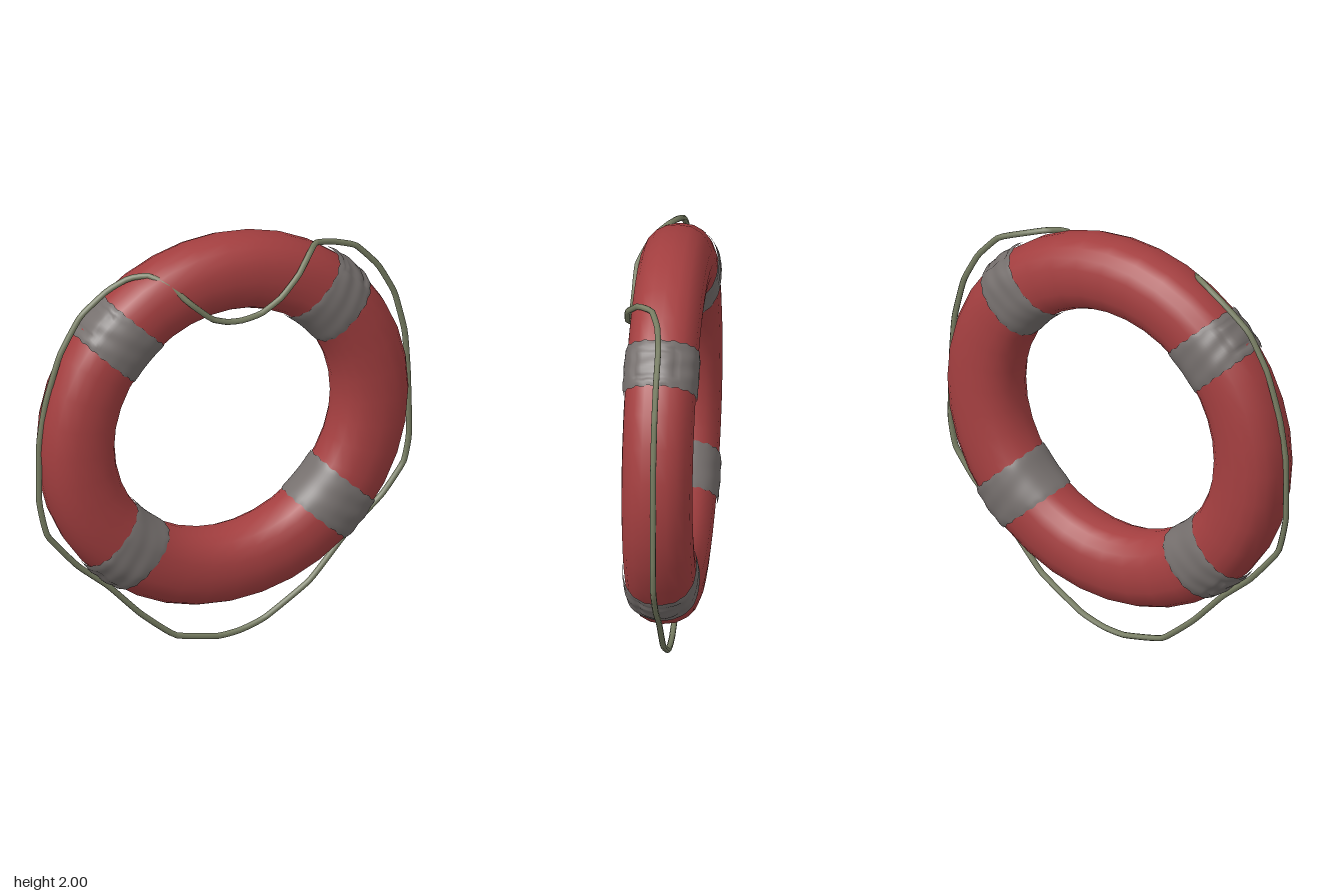
import * as THREE from 'three';
import { mergeVertices } from 'three/addons/utils/BufferGeometryUtils.js';

const RING_R = 0.725, TUBE_R = 0.175, TUBE_Z = 0.16;
const CENTRE = [-0.01, 1.1, -0.015];

// Rounded, slightly squared tube section: returns [radius, z] at angle phi
function section(phi, out = 0) {
  const soft = (v) => Math.sign(v) * Math.pow(Math.abs(v), 0.88);
  return [RING_R + (TUBE_R + out) * soft(Math.cos(phi)), (TUBE_Z + out) * soft(Math.sin(phi))];
}

// Weld seams and give smooth normals
function smooth(geometry) {
  geometry.deleteAttribute('uv');
  geometry.deleteAttribute('normal');
  const welded = mergeVertices(geometry, 1e-4);
  welded.computeVertexNormals();
  return welded;
}

function ringGeometry() {
  const g = new THREE.TorusGeometry(RING_R, TUBE_R, 20, 36);
  const p = g.attributes.position;
  for (let i = 0; i < p.count; i++) {
    const theta = Math.atan2(p.getY(i), p.getX(i));
    const phi = Math.atan2(p.getZ(i), Math.hypot(p.getX(i), p.getY(i)) - RING_R);
    const [r, z] = section(phi);
    p.setXYZ(i, r * Math.cos(theta), r * Math.sin(theta), z);
  }
  return smooth(g);
}

// Wrapped cloth band with parallel sides, ragged edges, folds and a stitched patch
function bandGeometry(angle, seed) {
  const half = 0.108;
  const g = new THREE.PlaneGeometry(2, 2, 20, 72);
  const p = g.attributes.position;
  for (let i = 0; i < p.count; i++) {
    const u = p.getX(i), phi = p.getY(i) * Math.PI;
    const ragged = 0.004 * Math.sin(phi * 17 + seed) * Math.sign(u) * u * u;
    const s = u * half + ragged;
    const outer = Math.max(0, Math.cos(phi * 0.5)) ** 2;
    const fade = 1 - u ** 6;
    const fold = Math.sin(phi * 5 + u * (3 + seed % 2) + seed * 2) * Math.sin(u * 4 - phi * 2 + seed);
    const box = Math.max(Math.abs(u) / 0.62, Math.abs(phi - 0.15 * Math.sin(seed)) / 0.55);
    const groove = Math.exp(-(((box - 1) / 0.13) ** 2));
    const out = 0.004 + fade * (0.005 + outer * (0.005 * fold - 0.007 * groove));
    const [r, z] = section(phi, out);
    const theta = angle + Math.asin(s / r);
    p.setXYZ(i, r * Math.cos(theta), r * Math.sin(theta), z);
  }
  return smooth(g);
}

// Grab rope: loose at the bottom, draped over the front at the top
function ropeGeometry() {
  const Z = -0.015;
  const points = [
    [-0.03, 0.014], [-0.24, 0.06], [-0.41, 0.2], [-0.57, 0.37], [-0.72, 0.5], [-0.87, 0.68],
    [-0.912, 0.86], [-0.912, 1.15], [-0.88, 1.35], [-0.81, 1.57], [-0.71, 1.74], [-0.58, 1.84],
    [-0.48, 1.89, 0], [-0.4, 1.903, 0.035], [-0.33, 1.87, 0.1], [-0.24, 1.78, 0.16],
    [-0.14, 1.69, 0.165], [-0.06, 1.66, 0.165], [0.01, 1.655, 0.165], [0.1, 1.67, 0.165],
    [0.2, 1.73, 0.165], [0.29, 1.82, 0.155], [0.37, 1.89, 0.1], [0.43, 1.9, 0.035],
    [0.53, 1.87, 0], [0.65, 1.82], [0.76, 1.7], [0.84, 1.55], [0.89, 1.35], [0.905, 1.15],
    [0.912, 0.84], [0.885, 0.7], [0.78, 0.56], [0.6, 0.4], [0.42, 0.2], [0.2, 0.06], [0.08, 0.022],
  ].map(([x, y, z = Z]) => new THREE.Vector3(x, y, z));
  const curve = new THREE.CatmullRomCurve3(points, true, 'catmullrom', 0.2);
  return new THREE.TubeGeometry(curve, 180, 0.014, 7, true);
}

export function createModel() {
  const red = new THREE.MeshStandardMaterial({ color: 0xa43f40 });
  red.name = 'faded red';
  const grey = new THREE.MeshStandardMaterial({ color: 0x76706e });
  grey.name = 'band grey';
  const green = new THREE.MeshStandardMaterial({ color: 0x777d62 });
  green.name = 'rope green';

  const model = new THREE.Group();
  model.name = 'lifebuoy';
  const add = (name, geometry, material, position = [0, 0, 0]) => {
    const mesh = new THREE.Mesh(geometry, material);
    mesh.name = name;
    mesh.position.set(...position);
    model.add(mesh);
  };

  add('floatRing', ringGeometry(), red, CENTRE);
  const bands = { upperLeftBand: 45.5, upperRightBand: 136, lowerRightBand: 227, lowerLeftBand: -43 };
  Object.entries(bands).forEach(([name, degrees], i) => {
    add(name, bandGeometry(THREE.MathUtils.degToRad(degrees), i * 1.7 + 1), grey, CENTRE);
  });
  add('grabRope', ropeGeometry(), green);
  return model;
}
